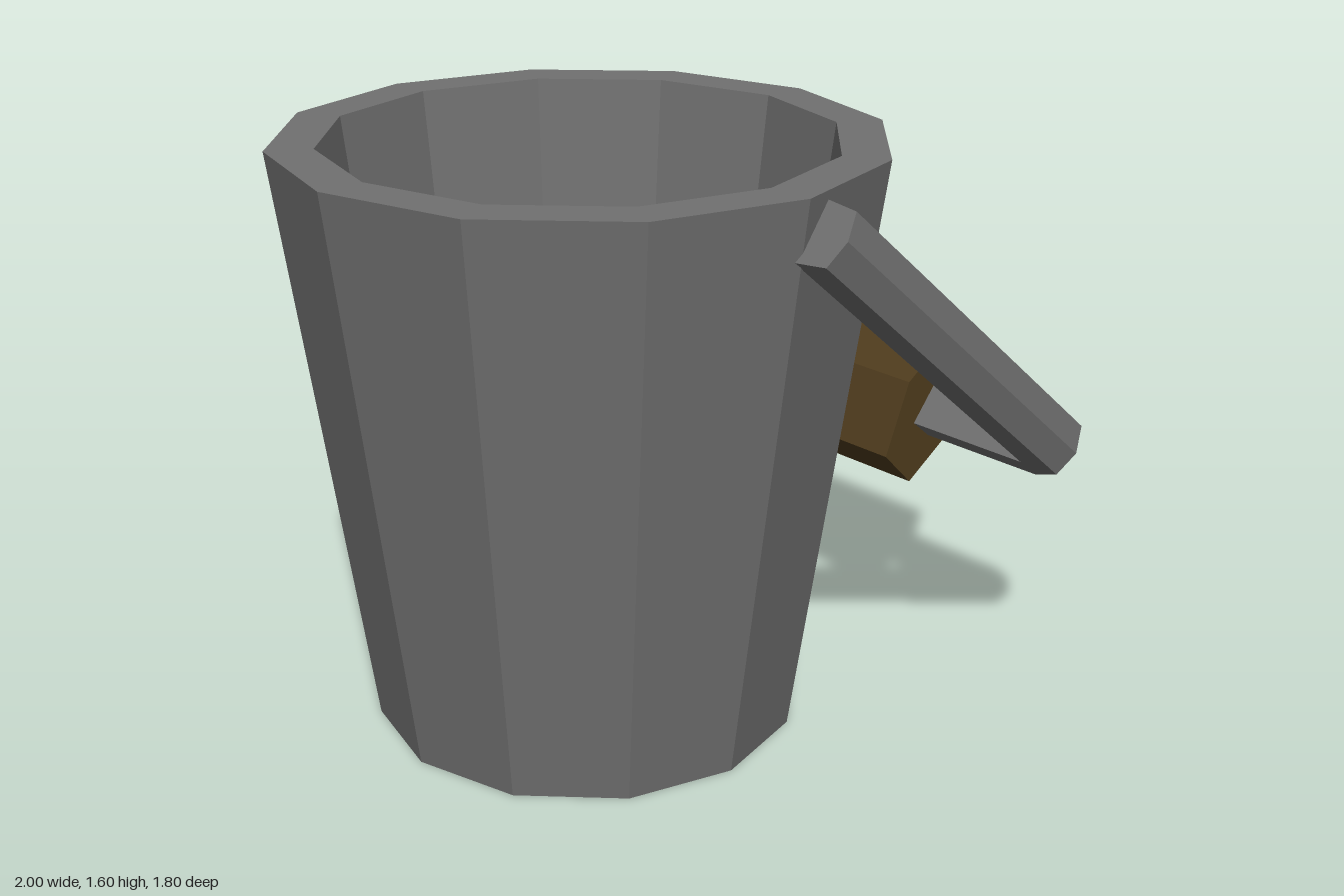
import * as THREE from 'three';

const metal = new THREE.MeshStandardMaterial({ color: 0x707070, flatShading: true });
const wood = new THREE.MeshStandardMaterial({ color: 0x4f3c1d, flatShading: true });

function addMesh(parent, name, geometry, material) {
  const mesh = new THREE.Mesh(geometry, material);
  mesh.name = name;
  parent.add(mesh);
}

// Capped loft through stations [section, x, z, sideX, sideZ]; each section is
// a list of [offset along the side direction, height].
function loft(stations) {
  const N = stations[0][0].length, positions = [], index = [];
  for (const [section, x, z, sx, sz] of stations) {
    for (const [s, v] of section) positions.push(x + sx * s, v, z + sz * s);
  }
  for (let i = 0; i < stations.length - 1; i++) {
    for (let k = 0; k < N; k++) {
      const p = i * N + k, r = i * N + (k + 1) % N;
      index.push(p, p + N, r, p + N, r + N, r);
    }
  }
  const last = (stations.length - 1) * N;
  for (let k = 1; k < N - 1; k++) {
    index.push(0, k, k + 1);
    index.push(last, last + k + 1, last + k);
  }
  const geometry = new THREE.BufferGeometry();
  geometry.setAttribute('position', new THREE.Float32BufferAttribute(positions, 3));
  geometry.setIndex(index);
  const flat = geometry.toNonIndexed();
  flat.computeVertexNormals();
  return flat;
}

export function createModel() {
  const model = new THREE.Group();
  model.name = 'bucketModel';

  const bucket = new THREE.Group();
  bucket.name = 'bucket';
  bucket.position.set(-0.2, 0, 0.018);
  bucket.rotation.y = 0.035;
  model.add(bucket);

  // Twelve-sided pail: underside, outer wall, rim, inner wall, floor
  const profile = [[0, 0], [0.58, 0], [0.8, 1.6], [0.675, 1.6], [0.5, 0.2], [0, 0.2]]
    .map(([r, y]) => new THREE.Vector2(r, y));
  addMesh(bucket, 'pail', new THREE.LatheGeometry(profile, 12), metal);

  // Handle hinged near the rim, its arms lying along local +x
  const handle = new THREE.Group();
  handle.name = 'handle';
  handle.position.set(0.036, 1.51, 0);
  handle.rotation.z = -0.692;
  bucket.add(handle);

  // U-shaped bail: ridged arms, flat crossbar, chamfered corners
  const reach = 1.239, armZ = 0.83, bendX = reach - 0.025, bendZ = 0.772;
  const arm = [[0.056, 0], [0.036, 0.075], [-0.058, 0.085], [-0.058, -0.085], [0.036, -0.075]];
  const bar = [[0.043, 0], [0.043, 0.083], [-0.043, 0.083], [-0.043, -0.083], [0.043, -0.083]];
  addMesh(handle, 'bail', loft([
    [arm, 0, armZ, 0, 1],
    [arm, bendX, armZ, 0.35, 1],
    [bar, reach, bendZ, 1, 0],
    [bar, reach, -bendZ, 1, 0],
    [arm, bendX, -armZ, 0.35, -1],
    [arm, 0, -armZ, 0, -1],
  ]), metal);

  // Wooden grip around the crossbar
  const grip = [[0.136, 0], [0.065, 0.225], [-0.085, 0.212],
    [-0.15, 0], [-0.085, -0.212], [0.065, -0.225]];
  addMesh(handle, 'grip', loft([
    [grip, reach, 0.385, 1, 0],
    [grip, reach, -0.385, 1, 0],
  ]), wood);

  return model;
}
